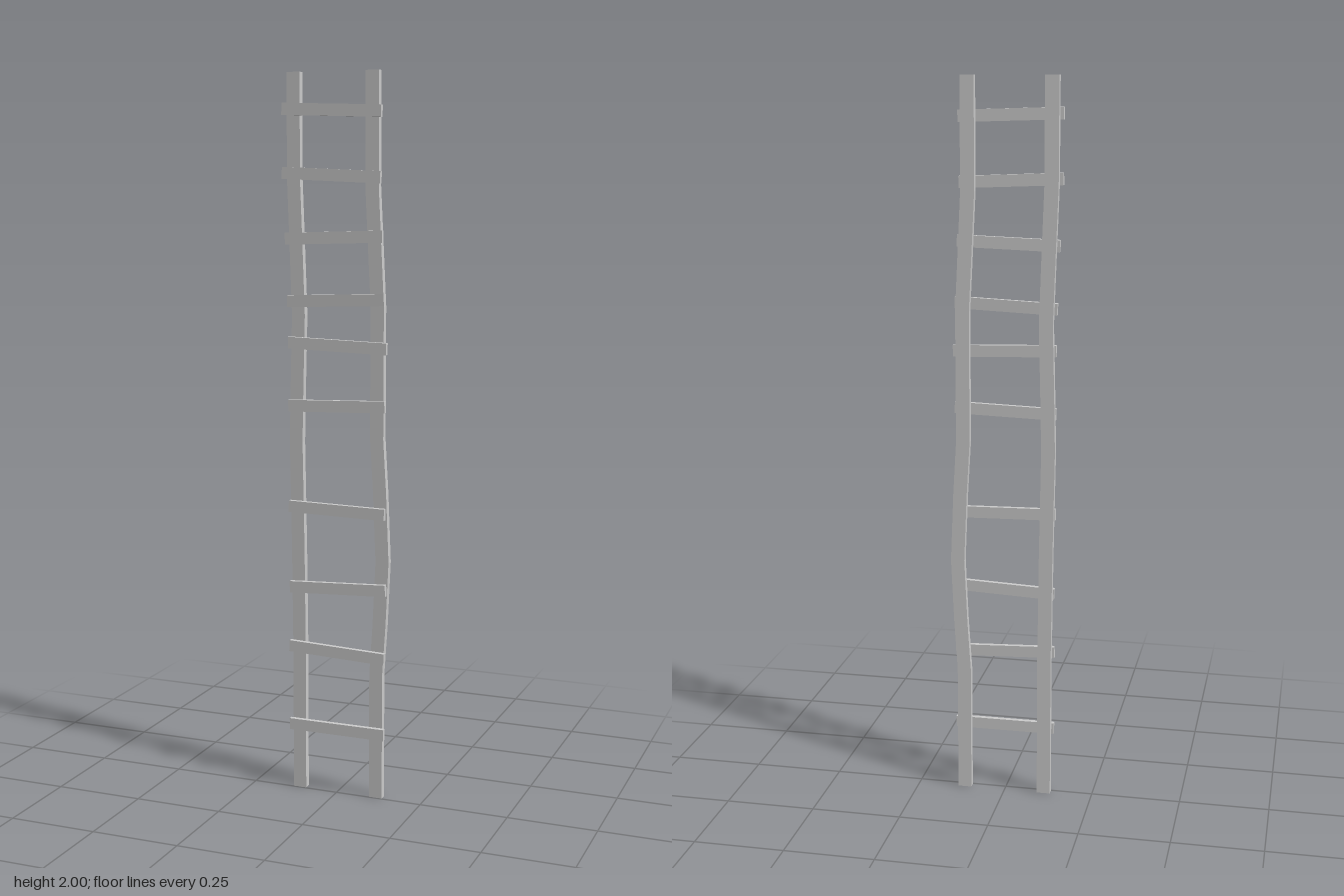
import * as THREE from 'three';

const material = new THREE.MeshStandardMaterial({ color: 0xcccccc, flatShading: true });

// Crooked upright: a flat plank following [centre x, y] points
function makeRail(name, path) {
  const half = 0.019;
  const outline = [
    ...path.map(([x, y]) => new THREE.Vector2(x - half, y)),
    ...path.map(([x, y]) => new THREE.Vector2(x + half, y)).reverse(),
  ];
  const geometry = new THREE.ExtrudeGeometry(new THREE.Shape(outline), { depth: 0.019, bevelEnabled: false });
  const rail = new THREE.Mesh(geometry, material);
  rail.name = name;
  rail.position.z = -0.022;
  return rail;
}

// Rung: a thin bar between two end points, optionally swung forward at its +x end
function makeRung(name, x0, y0, x1, y1, swing = 0) {
  const dx = x1 - x0, dy = y1 - y0;
  const rung = new THREE.Mesh(new THREE.BoxGeometry(Math.hypot(dx, dy), 0.032, 0.013), material);
  rung.name = name;
  rung.position.set((x0 + x1) / 2, (y0 + y1) / 2, 0.0055 + swing / 2);
  rung.rotation.set(0, -Math.atan2(swing, dx), Math.atan2(dy, dx));
  return rung;
}

export function createModel() {
  const ladder = new THREE.Group();
  ladder.name = 'ladder';

  ladder.add(makeRail('rightRail', [
    [-0.113, 0], [-0.113, 0.4], [-0.116, 0.7], [-0.121, 1.0],
    [-0.118, 1.15], [-0.113, 1.35], [-0.118, 1.5], [-0.126, 1.72], [-0.126, 2],
  ]));
  ladder.add(makeRail('leftRail', [
    [0.116, 0], [0.116, 0.36], [0.125, 0.5], [0.133, 0.68],
    [0.125, 0.87], [0.116, 1.02], [0.116, 1.38], [0.1, 1.7], [0.1, 2],
  ]));

  // Uneven rungs from the bottom up: x0, y0, x1, y1, swing
  [
    [-0.138, 0.19, 0.144, 0.19],
    [-0.138, 0.419, 0.144, 0.408],
    [-0.136, 0.59, 0.147, 0.603],
    [-0.138, 0.82, 0.143, 0.815],
    [-0.138, 1.102, 0.143, 1.111],
    [-0.138, 1.276, 0.147, 1.268],
    [-0.14, 1.389, 0.143, 1.4, 0.008],
    [-0.146, 1.558, 0.134, 1.567],
    [-0.154, 1.734, 0.128, 1.722],
    [-0.154, 1.903, 0.13, 1.894],
  ].forEach((r, i) => ladder.add(makeRung(`rung${i + 1}`, ...r)));

  return ladder;
}
